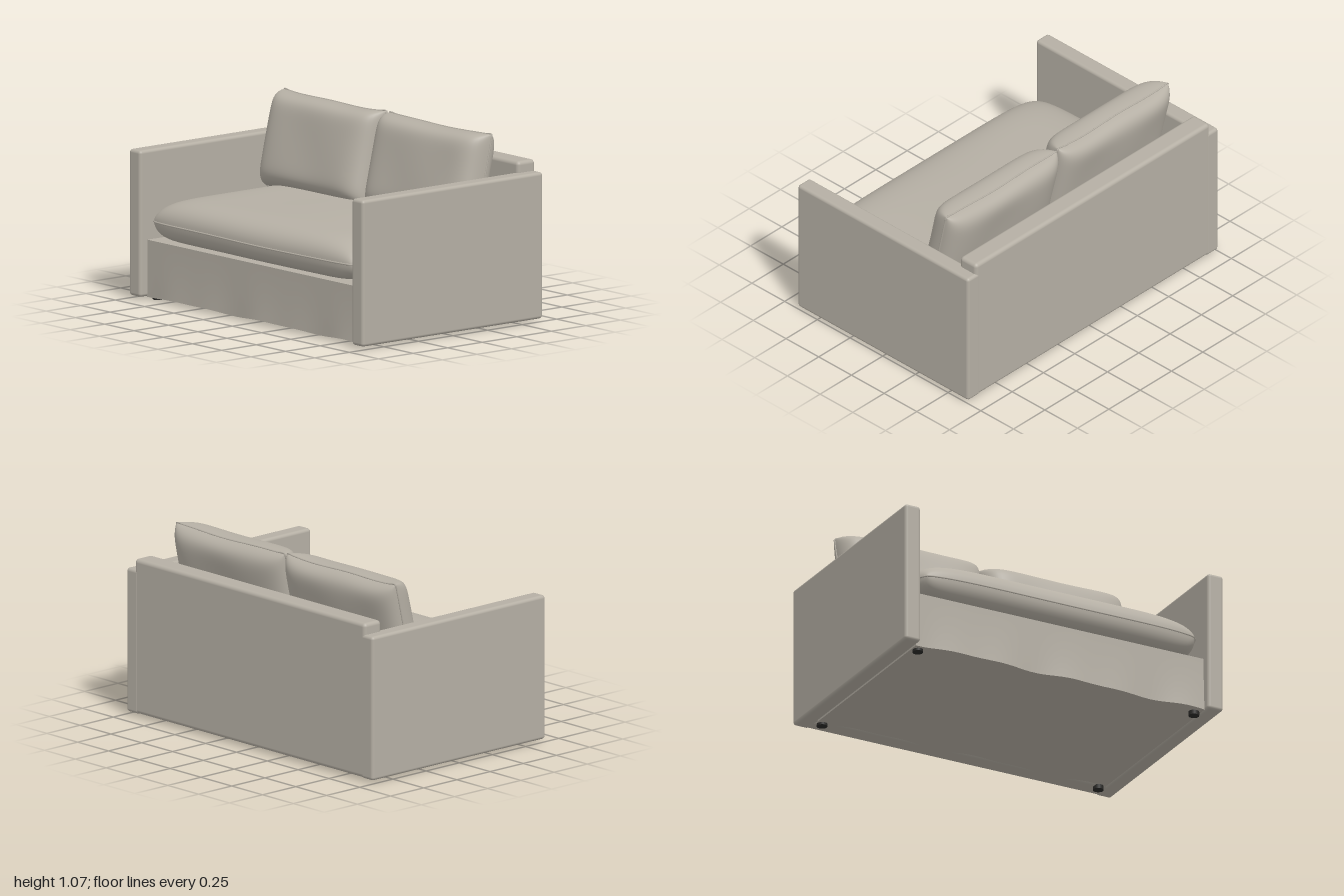
import * as THREE from 'three';
import { RoundedBoxGeometry } from 'three/addons/geometries/RoundedBoxGeometry.js';

const fabric = new THREE.MeshStandardMaterial({ color: 0xb5afa4 });
fabric.name = 'greigeFabric';
const footPlastic = new THREE.MeshStandardMaterial({ color: 0x2b2a28 });
footPlastic.name = 'blackFeet';

function addMesh(parent, name, geometry, material, x = 0, y = 0, z = 0) {
  const mesh = new THREE.Mesh(geometry, material);
  mesh.name = name;
  mesh.position.set(x, y, z);
  parent.add(mesh);
  return mesh;
}

// Soft cushion in its local xy plane: two bulging shells meeting at a piped seam
function makeCushion(name, o) {
  const group = new THREE.Group();
  group.name = name;

  // Outline: corner rounding, edges drawn in towards their middle, slight seam waviness
  const point = (u, v, depth, power) => {
    const round = 1 - o.corner * Math.pow(Math.abs(u * v), 6);
    const x = u * o.halfW * round * (1 - o.pinchX * (1 - v * v));
    const y = v * o.halfH * round * (1 - o.pinchY * (1 - u ** 4));
    const fade = Math.max(0, (1 - Math.abs(u) ** power) * (1 - Math.abs(v) ** power));
    const wave = o.wave * Math.sin(u * 5 + o.phase) * Math.cos(v * 2);
    return new THREE.Vector3(x, y + wave * Math.abs(v), depth * Math.sqrt(fade) + wave);
  };

  const shell = (depth, power) => {
    const n = 40, positions = [], index = [];
    for (let j = 0; j <= n; j++) {
      for (let i = 0; i <= n; i++) {
        // Sine spacing packs rows where the cushion curves most
        const u = Math.sin((i / n - 0.5) * Math.PI);
        const v = Math.sin((j / n - 0.5) * Math.PI);
        positions.push(...point(u, v, depth, power).toArray());
        if (i < n && j < n) {
          const a = j * (n + 1) + i, b = a + 1, c = a + n + 1, d = c + 1;
          if (depth > 0) index.push(a, b, d, a, d, c);
          else index.push(a, d, b, a, c, d);
        }
      }
    }
    const g = new THREE.BufferGeometry();
    g.setAttribute('position', new THREE.Float32BufferAttribute(positions, 3));
    g.setIndex(index);
    g.computeVertexNormals();
    return g;
  };
  addMesh(group, 'frontShell', shell(o.front, o.frontPower), fabric);
  addMesh(group, 'backShell', shell(-o.back, o.backPower), fabric);

  // Piping around the seam
  const path = [], steps = 16;
  for (const [u0, v0, u1, v1] of [[-1, -1, 1, -1], [1, -1, 1, 1], [1, 1, -1, 1], [-1, 1, -1, -1]]) {
    for (let i = 0; i < steps; i++) {
      const t = i / steps;
      path.push(point(u0 + (u1 - u0) * t, v0 + (v1 - v0) * t, 0, 2));
    }
  }
  const curve = new THREE.CatmullRomCurve3(path, true);
  addMesh(group, 'piping', new THREE.TubeGeometry(curve, 160, 0.005, 6, true), fabric);
  return group;
}

// Base box whose lower hem ripples like a loose cover
function makeBase() {
  const g = new THREE.BoxGeometry(1.81, 0.315, 1.17, 48, 8, 1);
  const p = g.attributes.position;
  for (let i = 0; i < p.count; i++) {
    const x = p.getX(i), y = p.getY(i), z = p.getZ(i);
    const low = (0.1575 - y) / 0.315;
    const ripple = Math.sin(x * 9) + 0.6 * Math.sin(x * 17 + 1);
    p.setY(i, y + 0.004 * ripple * low ** 6);
    if (z > 0) p.setZ(i, z + (0.008 + 0.005 * ripple) * low * low);
  }
  g.computeVertexNormals();
  return g;
}

export function createModel() {
  const sofa = new THREE.Group();
  sofa.name = 'sofa';

  addMesh(sofa, 'base', makeBase(), fabric, 0, 0.1775, 0.015);
  addMesh(sofa, 'backrest', new RoundedBoxGeometry(1.87, 0.885, 0.127, 4, 0.022), fabric, 0, 0.46, -0.5885);

  for (const side of [-1, 1]) {
    const label = side > 0 ? 'left' : 'right';
    addMesh(sofa, label + 'Arm', new RoundedBoxGeometry(0.097, 0.823, 1.306, 4, 0.018), fabric, side * 0.9515, 0.4275, 0);

    // Leaning back cushions
    const pillow = makeCushion(label + 'BackCushion', {
      halfW: 0.445, halfH: 0.276, front: 0.145, back: 0.095, frontPower: 8, backPower: 7,
      corner: 0.015, pinchX: 0.012, pinchY: 0.05, wave: 0.005, phase: side,
    });
    pillow.position.set(side * 0.447, 0.802, side > 0 ? -0.316 : -0.312);
    pillow.rotation.x = -0.23;
    sofa.add(pillow);

    for (const z of [-0.552, 0.552]) {
      addMesh(sofa, 'foot', new THREE.CylinderGeometry(0.03, 0.03, 0.03, 20), footPlastic, side * 0.868, 0.015, z);
    }
  }

  // Seat cushion, laid flat
  const seat = makeCushion('seatCushion', {
    halfW: 0.893, halfH: 0.585, front: 0.136, back: 0.115, frontPower: 7, backPower: 12,
    corner: 0.06, pinchX: 0, pinchY: 0, wave: 0.004, phase: 1,
  });
  seat.position.set(0, 0.45, 0.057);
  seat.rotation.x = -Math.PI / 2;
  sofa.add(seat);

  return sofa;
}
